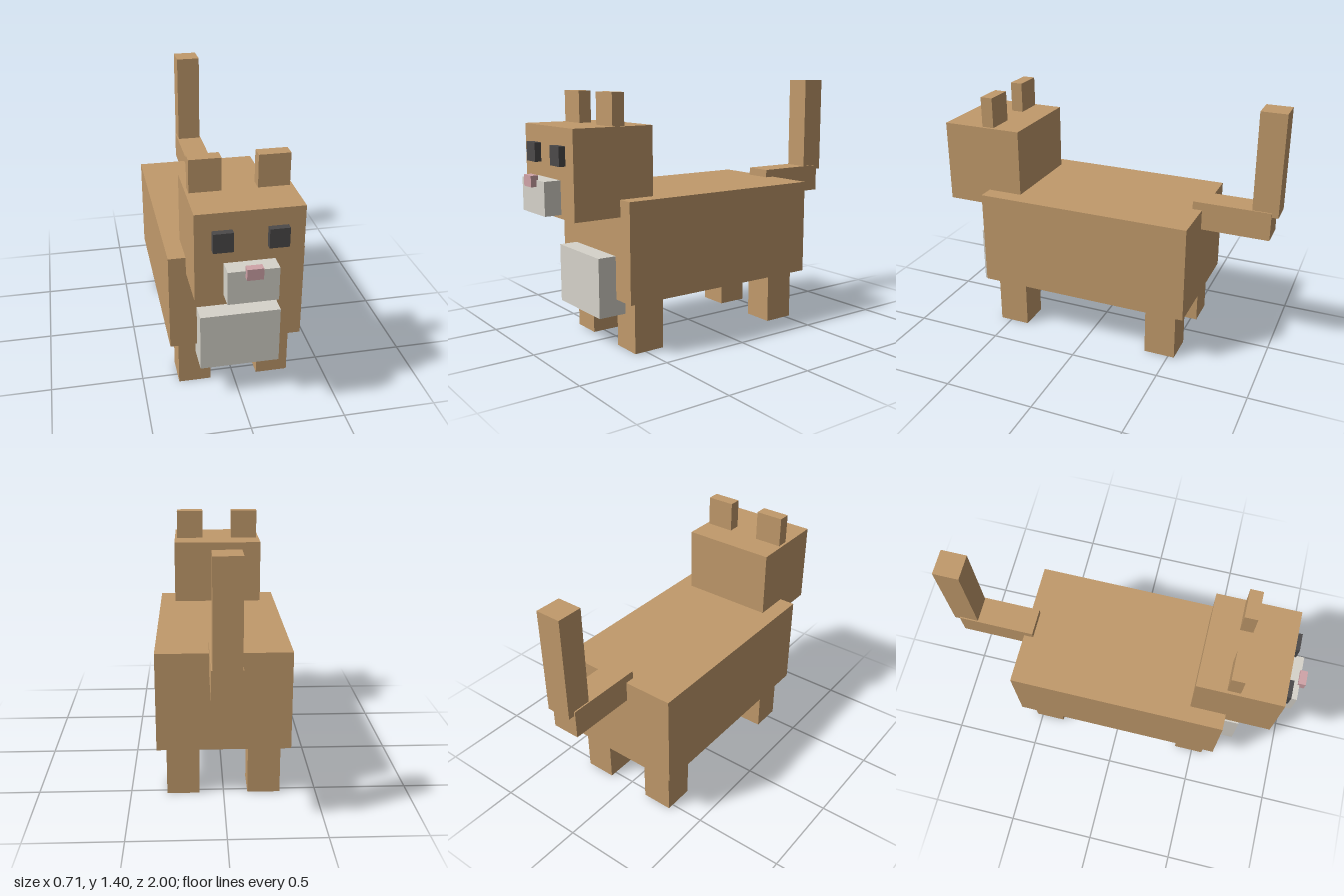
import * as THREE from 'three';

const paint = (color) => new THREE.MeshStandardMaterial({ color });

export function createModel() {
  const model = new THREE.Group();
  const fur = paint(0xc19a6b);
  const pale = paint(0xd6d3ca);
  const dark = paint(0x4c4a4a);
  const pink = paint(0xd0a3a8);

  // Box given by its [min, max] range on each axis
  function block(name, material, [x0, x1], [y0, y1], [z0, z1]) {
    const mesh = new THREE.Mesh(new THREE.BoxGeometry(x1 - x0, y1 - y0, z1 - z0), material);
    mesh.position.set((x0 + x1) / 2, (y0 + y1) / 2, (z0 + z1) / 2);
    mesh.name = name;
    model.add(mesh);
  }

  // Left block plus its mirror image on the right
  function pair(name, material, [x0, x1], y, z) {
    block('left' + name, material, [x0, x1], y, z);
    block('right' + name, material, [-x1, -x0], y, z);
  }

  // Body and chest patch
  block('body', fur, [-0.355, 0.355], [0.285, 0.82], [-0.59, 0.62]);
  block('chest', pale, [-0.212, 0.212], [0.197, 0.517], [0.55, 0.722]);

  // Legs
  pair('FrontLeg', fur, [0.13, 0.305], [0, 0.29], [0.39, 0.565]);
  pair('BackLeg', fur, [0.13, 0.305], [0, 0.29], [-0.535, -0.36]);

  // Head and face
  block('head', fur, [-0.265, 0.265], [0.73, 1.19], [0.42, 0.88]);
  pair('Ear', fur, [0.09, 0.25], [1.18, 1.36], [0.58, 0.65]);
  pair('Eye', dark, [0.085, 0.183], [1.0, 1.1], [0.87, 0.915]);
  block('muzzle', pale, [-0.125, 0.125], [0.75, 0.925], [0.87, 0.97]);
  block('nose', pink, [-0.04, 0.04], [0.89, 0.948], [0.96, 1.0]);

  // Tail
  block('tailBase', fur, [-0.077, 0.077], [0.707, 0.865], [-0.965, -0.537]);
  block('tailTip', fur, [-0.07, 0.07], [0.84, 1.405], [-1.0, -0.86]);

  return model;
}
